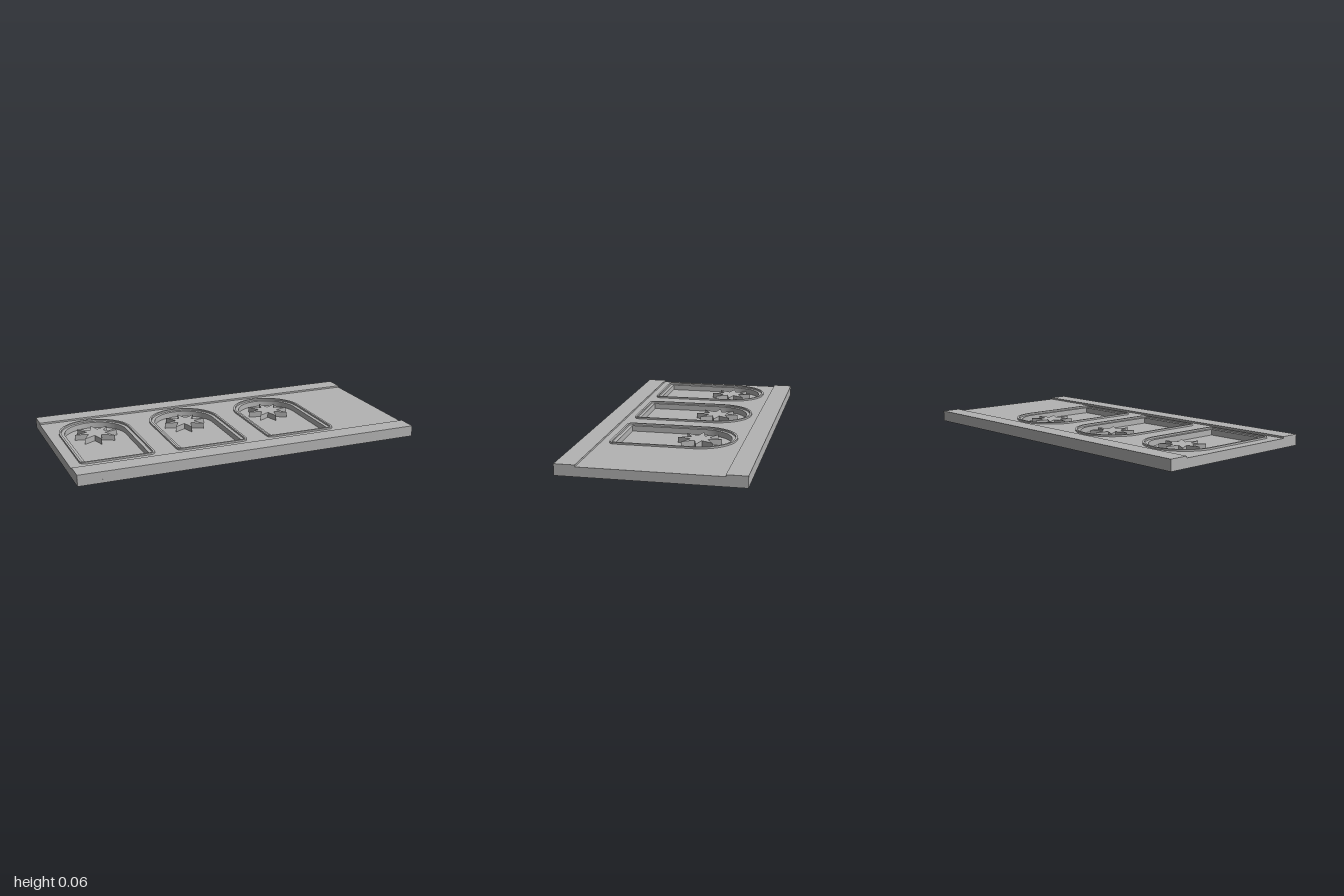
import * as THREE from 'three';
import { toCreasedNormals } from 'three/addons/utils/BufferGeometryUtils.js';

const FLOOR = 0.02, FIELD = 0.0525, TOP = 0.0625;
const HALF_DEPTH = 0.495, LEDGE_Z = 0.383;
const ARCH_R = 0.178, ARCH_Z = -0.13, ARCH_FOOT = 0.303;
const ARCH_X = [-0.73, -0.185, 0.36];

// Arched window outline grown outward by o, with rounded foot corners; shape y is -z
function trace(path, cx, o) {
  const r = ARCH_R + o, spring = -ARCH_Z, foot = -ARCH_FOOT;
  path.moveTo(cx + r, spring);
  path.absarc(cx, spring, r, 0, Math.PI, false);
  path.lineTo(cx - r, foot);
  if (o > 0) path.absarc(cx - ARCH_R, foot, o, Math.PI, 1.5 * Math.PI, false);
  path.lineTo(cx + ARCH_R, foot - o);
  if (o > 0) path.absarc(cx + ARCH_R, foot, o, 1.5 * Math.PI, 2 * Math.PI, false);
  path.closePath();
  return path;
}

// Eight-pointed star outline
function starShape(cx) {
  const pts = [];
  for (let i = 0; i < 16; i++) {
    const a = (i * Math.PI) / 8, r = i % 2 ? 0.053 : 0.124;
    pts.push(new THREE.Vector2(cx + r * Math.cos(a), -ARCH_Z + r * Math.sin(a)));
  }
  return new THREE.Shape(pts);
}

export function createModel() {
  const group = new THREE.Group();
  const stone = new THREE.MeshStandardMaterial({ color: 0xb3b3b3 });
  stone.name = 'grey stone';

  const add = (name, geometry) => {
    const mesh = new THREE.Mesh(geometry, stone);
    mesh.name = name;
    group.add(mesh);
  };
  // Extrude a plan shape upward from y0 to y1
  const slab = (name, shape, y0, y1) => {
    const g = new THREE.ExtrudeGeometry(shape, { depth: y1 - y0, bevelEnabled: false, curveSegments: 32 });
    g.rotateX(-Math.PI / 2).translate(0, y0, 0);
    add(name, toCreasedNormals(g, 0.5));
  };

  // Base plate, which forms the recess floors
  add('basePlate', new THREE.BoxGeometry(2, FLOOR, 2 * HALF_DEPTH).translate(0, FLOOR / 2, 0));

  // Field with arched openings
  const field = new THREE.Shape([
    new THREE.Vector2(-1, -LEDGE_Z), new THREE.Vector2(1, -LEDGE_Z),
    new THREE.Vector2(1, LEDGE_Z), new THREE.Vector2(-1, LEDGE_Z),
  ]);
  for (const x of ARCH_X) field.holes.push(trace(new THREE.Path(), x, 0));
  slab('field', field, FLOOR, FIELD);

  // Raised ledges along the front and back
  const d = HALF_DEPTH - LEDGE_Z;
  for (const [name, s] of [['frontLedge', 1], ['backLedge', -1]]) {
    add(name, new THREE.BoxGeometry(2, TOP - FLOOR, d)
      .translate(0, (TOP + FLOOR) / 2, s * (LEDGE_Z + d / 2)));
  }

  // Raised rim and star for each arch
  for (const x of ARCH_X) {
    const rim = trace(new THREE.Shape(), x, 0.032);
    rim.holes.push(trace(new THREE.Path(), x, 0.02));
    slab('archRim', rim, FIELD, TOP);
    slab('star', starShape(x), FLOOR, FIELD);
  }
  return group;
}
